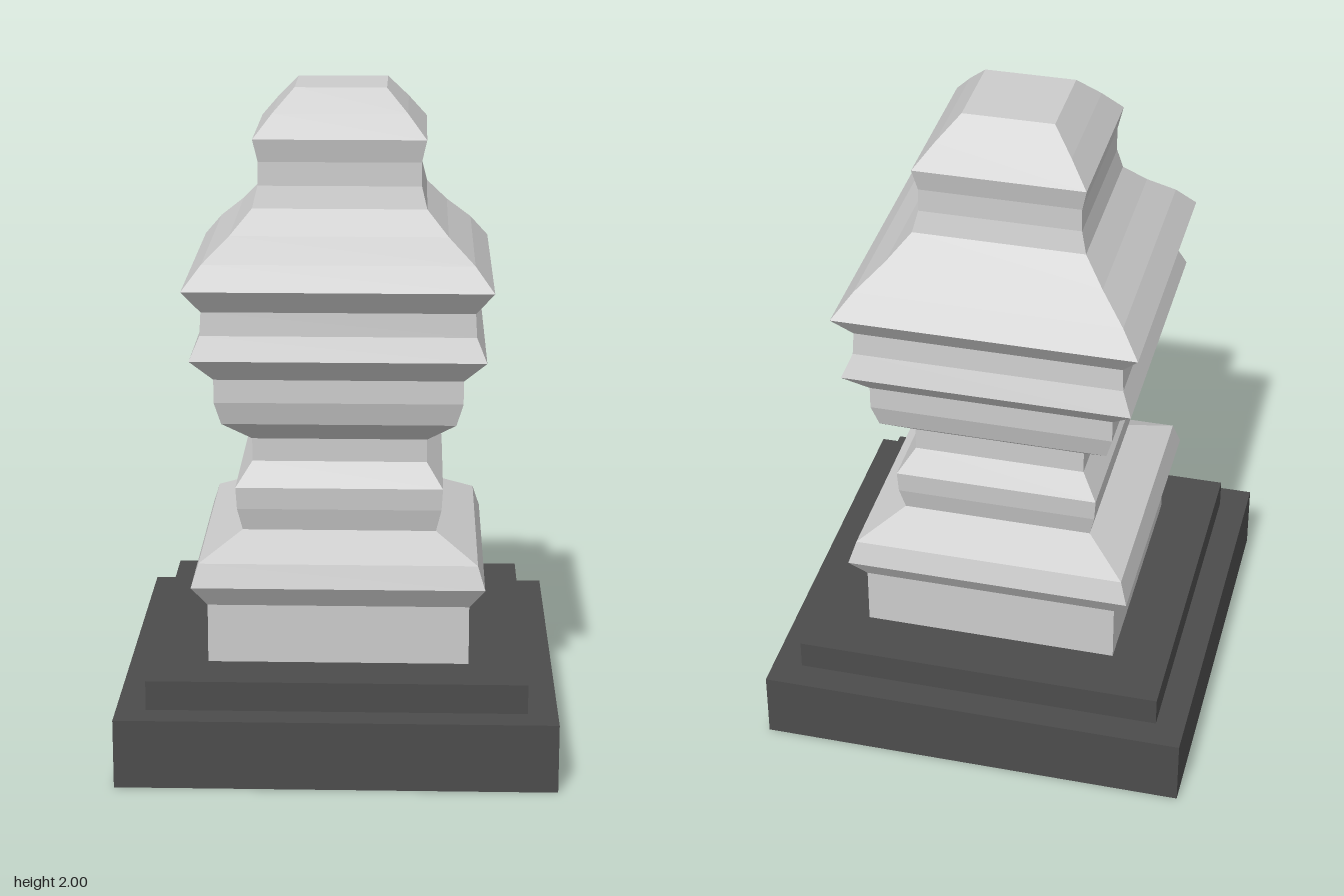
import * as THREE from 'three';

// [half width, height] of the square-section column, from foot to top
const PROFILE = [
  [0.392, 0.30], [0.392, 0.48], [0.438, 0.547], [0.416, 0.617], [0.291, 0.686],
  [0.307, 0.755], [0.311, 0.822], [0.262, 0.893], [0.262, 0.963], [0.348, 1.03],
  [0.368, 1.10], [0.368, 1.17], [0.434, 1.24], [0.404, 1.31], [0.40, 1.38],
  [0.453, 1.45], [0.397, 1.52], [0.32, 1.59], [0.257, 1.66], [0.241, 1.725],
  [0.24, 1.795], [0.255, 1.863], [0.199, 1.932], [0.136, 2.0], [0, 2.0],
];

export function createModel() {
  const model = new THREE.Group();
  model.name = 'carvedPillar';

  const stone = new THREE.MeshStandardMaterial({ color: 0xcccccc, flatShading: true });
  const darkStone = new THREE.MeshStandardMaterial({ color: 0x4c4c4c });

  // Stepped square base
  const addSlab = (name, width, bottom, top) => {
    const slab = new THREE.Mesh(new THREE.BoxGeometry(width, top - bottom, width), darkStone);
    slab.name = name;
    slab.position.y = (bottom + top) / 2;
    model.add(slab);
  };
  addSlab('lowerPlinth', 1.308, 0, 0.21);
  addSlab('upperPlinth', 1.13, 0.21, 0.30);

  // Moulded column: a four-sided lathe, its corners on the diagonals
  const points = PROFILE.map(([half, y]) => new THREE.Vector2(half * Math.SQRT2, y));
  const geometry = new THREE.LatheGeometry(points, 4, Math.PI / 4).toNonIndexed();
  geometry.computeVertexNormals();
  const column = new THREE.Mesh(geometry, stone);
  column.name = 'column';
  model.add(column);

  return model;
}
